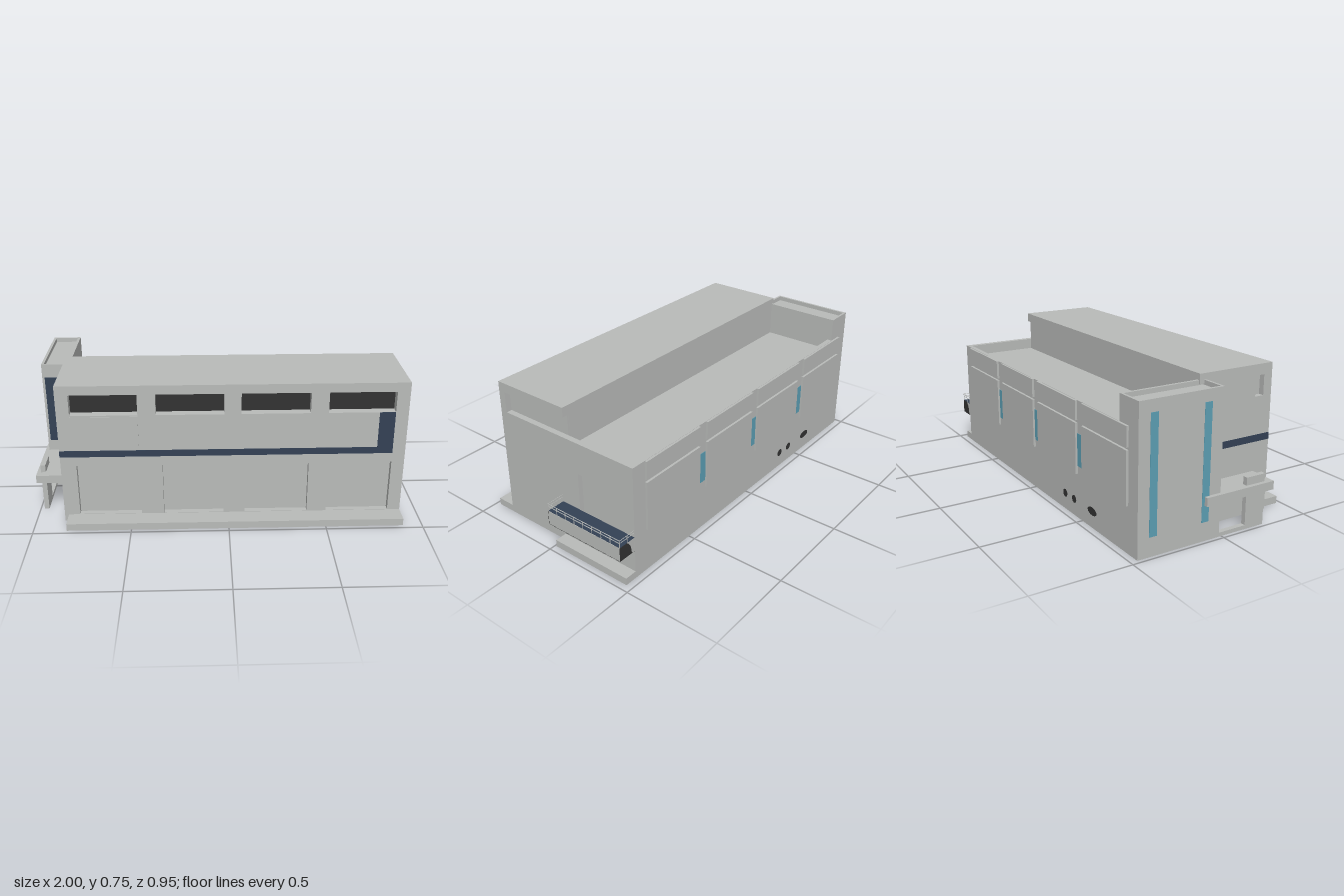
import * as THREE from 'three';

export function createModel() {
  const model = new THREE.Group();
  const paint = (name, color) => {
    const m = new THREE.MeshStandardMaterial({ color });
    m.name = name;
    return m;
  };
  const grey = paint('concrete', 0xb9bbb9);
  const navy = paint('navy', 0x334155);
  const dark = paint('darkMetal', 0x323232);
  const teal = paint('glass', 0x5c9fb4);
  const T = 0.008; // wall thickness

  const add = (name, geo, mat, parent = model) => {
    const m = new THREE.Mesh(geo, mat);
    m.name = name;
    parent.add(m);
    return m;
  };
  // box given by its limits on each axis
  const box = (name, mat, x0, x1, y0, y1, z0, z1, parent) => {
    const m = add(name, new THREE.BoxGeometry(x1 - x0, y1 - y0, z1 - z0), mat, parent);
    m.position.set((x0 + x1) / 2, (y0 + y1) / 2, (z0 + z1) / 2);
    return m;
  };
  // upright plate [u0, u1, v0, v1] with rectangular holes, its outside at z = 0
  const plate = (name, outline, holes, depth, parent) => {
    const rect = (P, [a, b, c, d]) => new P([[a, c], [b, c], [b, d], [a, d]].map(p => new THREE.Vector2(...p)));
    const s = rect(THREE.Shape, outline);
    holes.forEach(h => s.holes.push(rect(THREE.Path, h)));
    add(name, new THREE.ExtrudeGeometry(s, { depth, bevelEnabled: false }), grey, parent).position.z = -depth;
  };
  // thin wall with open holes and boxed-in recesses, turned to face outwards
  const facade = (name, x, z, turn, outline, recesses, openings = []) => {
    const face = new THREE.Group();
    face.name = name;
    face.position.set(x, 0, z);
    face.rotation.y = turn;
    model.add(face);
    plate(name + 'Shell', outline, [...recesses.map(r => r.rect), ...openings], T, face);
    recesses.forEach(({ part, rect, depth, mat }) => {
      const [a, b, c, d] = rect, e = 0.004;
      plate(part + 'Reveal', [a - e, b + e, c - e, d + e], [rect], depth, face);
      box(part, mat, a - e, b + e, c - e, d + e, -depth - e, -depth, face);
    });
  };
  const recess = (part, rect, depth, mat = grey) => ({ part, rect, depth, mat });

  // front with garage doors below and dark windows above
  const doors = [[-0.77, -0.45], [-0.335, -0.025], [0.085, 0.41], [0.51, 0.835]];
  const windows = [[-0.785, -0.45], [-0.36, -0.02], [0.065, 0.41], [0.5, 0.835]];
  facade('frontWall', 0, 0.378, 0, [-0.85, 0.9, 0, 0.754], [
    ...doors.map(d => recess('garageDoor', [...d, 0.04, 0.32], 0.03)),
    ...windows.map(w => recess('window', [...w, 0.597, 0.706], 0.045, dark))]);
  box('panelUnderWindow', grey, -0.785, -0.45, 0.415, 0.59, 0.365, 0.381);
  box('frontApron', grey, -0.83, 0.9, 0, 0.038, 0.37, 0.477);

  // painted stripe, showing on both faces of the walls
  box('frontStripe', navy, -0.85, 0.835, 0.37, 0.405, 0.378, 0.3795);
  box('frontStripeUpright', navy, 0.755, 0.835, 0.405, 0.597, 0.378, 0.3795);
  box('innerStripe', navy, -0.842, 0.835, 0.37, 0.405, 0.368, 0.37);
  box('sideStripe', navy, -0.8515, -0.85, 0.37, 0.405, -0.015, 0.378);
  box('innerSideStripe', navy, -0.842, -0.84, 0.37, 0.405, -0.015, 0.368);

  // balcony side with two doors, and the long recess above it
  facade('balconyWall', 0.9, 0, Math.PI / 2, [-0.37, 0.465, 0, 0.598], [
    recess('balconyDoor', [0.125, 0.345, 0.2, 0.432], 0.025),
    recess('lowerDoor', [0.26, 0.355, 0.04, 0.15], 0.02)]);
  box('recessSill', grey, 0.87, 0.892, 0.59, 0.598, -0.05, 0.37);
  box('recessWall', grey, 0.862, 0.87, 0.54, 0.705, -0.05, 0.37);
  box('recessCheek', grey, 0.87, 0.9, 0.598, 0.705, 0.34, 0.37);

  // opposite side with a low slot and a narrow window
  facade('canopyWall', -0.85, 0, -Math.PI / 2, [-0.015, 0.37, 0, 0.705],
    [recess('narrowWindow', [0.28, 0.33, 0.597, 0.7], 0.03)], [[0.0, 0.285, 0.1, 0.175]]);

  // roofs
  box('frontRoof', grey, -0.85, 0.9, 0.705, 0.754, -0.052, 0.37);
  box('roofStepWall', grey, -0.83, 0.862, 0.532, 0.705, -0.052, -0.044);
  box('rearRoof', grey, -0.84, 0.87, 0.532, 0.54, -0.44, -0.044);

  // back wall with its parapet, cladding panels, glazed slots and vents
  box('backWall', grey, -0.967, 0.892, 0, 0.598, -0.465, -0.457);
  box('backParapet', grey, -0.84, 0.892, 0.532, 0.598, -0.457, -0.44);
  box('sideParapet', grey, 0.87, 0.892, 0.532, 0.598, -0.44, -0.05);
  [[-0.905, -0.515], [-0.46, -0.06], [-0.01, 0.375], [0.43, 0.82]].forEach(([a, b], i) => {
    box('lowerPanel', grey, a, b, 0.23, 0.488, -0.477, -0.465);
    box('upperPanel', grey, a, b, 0.5, 0.597, -0.477, -0.465);
    if (i < 3) box('slotWindow', teal, b, b + (i === 1 ? 0.05 : 0.055), 0.27, 0.435, -0.467, -0.465);
  });
  [[-0.33, 1], [-0.42, 1], [-0.593, 2]].forEach(([x, stretch]) => {
    const vent = add('vent', new THREE.CylinderGeometry(0.02, 0.02, 0.003, 20), dark);
    vent.rotation.x = Math.PI / 2;
    vent.scale.x = stretch;
    vent.position.set(x, 0.085, -0.465);
  });

  // corner tower, open below
  box('towerOuterWall', grey, -0.98, -0.967, 0, 0.723, -0.465, -0.015);
  box('towerFrontWall', grey, -0.967, -0.83, 0, 0.723, -0.027, -0.015);
  box('towerBackWall', grey, -0.967, -0.83, 0.598, 0.723, -0.465, -0.453);
  box('towerInnerWall', grey, -0.844, -0.83, 0.532, 0.723, -0.453, -0.027);
  box('towerRoof', grey, -0.967, -0.844, 0.692, 0.7, -0.453, -0.027);
  box('towerFrontPanel', navy, -0.967, -0.85, 0.28, 0.65, -0.015, -0.013);
  [-0.385, -0.1].forEach(z => {
    box('towerWindow', teal, -0.9815, -0.98, 0.095, 0.665, z - 0.02, z + 0.02);
    box('towerWindowInner', teal, -0.967, -0.965, 0.095, 0.665, z - 0.02, z + 0.02);
  });

  // side canopy with its post and kerb
  box('canopy', grey, -1, -0.85, 0.177, 0.22, -0.105, 0.29);
  box('canopyPost', grey, -0.98, -0.955, 0, 0.26, 0.14, 0.25);
  box('canopyKerb', grey, -0.98, -0.955, 0, 0.02, -0.015, 0.14);

  // balcony with dark ends and underside, and the step below it
  box('sideStep', grey, 0.9, 0.965, 0, 0.038, -0.465, -0.01);
  box('balcony', grey, 0.9, 0.999, 0.157, 0.23, -0.463, -0.012);
  box('balconyFloor', navy, 0.9, 0.997, 0.23, 0.232, -0.463, -0.012);
  box('balconyUnderside', dark, 0.9, 0.999, 0.155, 0.157, -0.463, -0.012);
  const end = new THREE.Shape();
  end.moveTo(0.922, 0.157).lineTo(0.999, 0.157).lineTo(0.999, 0.23).lineTo(0.95, 0.23);
  end.quadraticCurveTo(0.922, 0.21, 0.922, 0.157);
  [-0.012, -0.465].forEach(z => {
    add('balconyEnd', new THREE.ExtrudeGeometry(end, { depth: 0.002, bevelEnabled: false }), dark).position.z = z;
  });

  // railing
  for (let i = 0; i < 9; i++) {
    const z = -0.012 - i * 0.0563;
    box('railPost', grey, 0.996, 0.999, 0.23, 0.27, z - 0.001, z + 0.001);
  }
  [0.256, 0.27].forEach(y => {
    box('longRail', grey, 0.996, 0.999, y - 0.001, y + 0.001, -0.464, -0.011);
    [-0.463, -0.012].forEach(z => box('endRail', grey, 0.9, 0.999, y - 0.001, y + 0.001, z - 0.001, z + 0.001));
  });
  [-0.463, -0.012].forEach(z => box('endPost', grey, 0.946, 0.949, 0.23, 0.27, z - 0.001, z + 0.001));

  return model;
}
